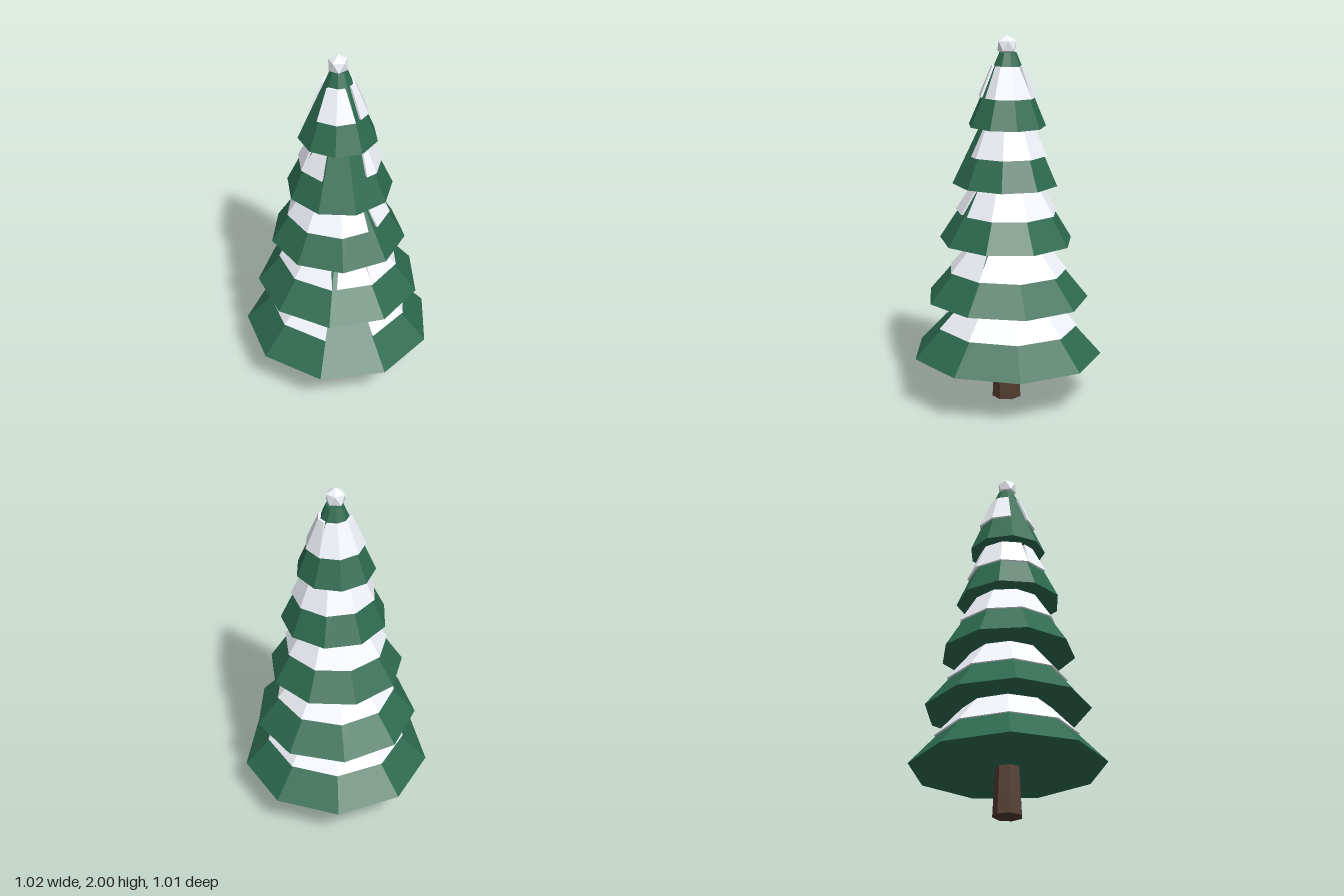
import * as THREE from 'three';

const SIDES = 9;
const STEP = (Math.PI * 2) / SIDES;
const mat = (color) => new THREE.MeshStandardMaterial({ color, flatShading: true, side: THREE.DoubleSide });

// One entry per layer of branches, from the ground up.
// gaps: snow panels that are missing (null) or narrowed: [bottomFrom, bottomTo, topFrom, topTo]
const TIERS = [
  { y: 0.26, r: 0.52, top: 0.15, h: 0.4, turn: 20, x: 0, z: 0.012, gaps: { 0: null, 8: [0, 1, 0.2, 1] } },
  { y: 0.575, r: 0.445, top: 0.115, h: 0.4, turn: 24.5, x: 0, z: 0.01,
    gaps: { 8: [0, 1, 0, 0.75], 0: [0.12, 1, 0.2, 1], 1: [0, 1, 0.1, 0.8] } },
  { y: 0.895, r: 0.365, top: 0.115, h: 0.4, turn: 35, x: 0, z: 0.014,
    gaps: { 0: [0, 0.8, 0, 0.9], 1: [0.15, 1, 0.05, 1] } },
  { y: 1.21, r: 0.285, top: 0.1, h: 0.4, turn: 8, x: 0.01, z: 0.012,
    gaps: { 0: null, 1: [0.6, 1, 0.8, 1], 8: [0, 0.95, 0.3, 0.9] } },
  { y: 1.52, r: 0.21, top: 0.045, h: 0.39, turn: 27, x: 0, z: 0.01,
    gaps: { 7: null, 0: [0, 0.95, 0, 0.7], 1: [0.35, 1, 0.35, 1], 3: [0, 1, 0, 0.75] } },
];

// Slabs of snow lying on the facets of a tier
function snowGeometry({ r, top, h, turn, gaps }) {
  const start = THREE.MathUtils.degToRad(turn);
  const positions = [];
  // point on facet k: u along the facet, t up the slope, lift outwards
  const point = (k, u, t, lift) => {
    const radius = r + (top - r) * t + lift;
    const corner = (i) => new THREE.Vector3(Math.sin(start + i * STEP) * radius, t * h, Math.cos(start + i * STEP) * radius);
    return corner(k).lerp(corner(k + 1), u);
  };
  const quad = (a, b, c, d) => [a, b, c, a, c, d].forEach((p) => positions.push(p.x, p.y, p.z));
  for (let k = 0; k < SIDES; k++) {
    const span = k in gaps ? gaps[k] : [0, 1, 0, 1];
    if (!span) continue;
    const [b0, b1, t0, t1] = span;
    const loop = (lift) => [point(k, b0, 0.4, lift), point(k, b1, 0.4, lift), point(k, t1, 0.82, lift), point(k, t0, 0.82, lift)];
    const outer = loop(0.014);
    const inner = loop(-0.002);
    quad(...outer);
    for (let i = 0; i < 4; i++) {
      const j = (i + 1) % 4;
      quad(inner[i], inner[j], outer[j], outer[i]);
    }
  }
  const g = new THREE.BufferGeometry();
  g.setAttribute('position', new THREE.Float32BufferAttribute(positions, 3));
  g.computeVertexNormals();
  return g;
}

export function createModel() {
  const tree = new THREE.Group();
  tree.name = 'snowyTree';
  const green = mat(0x2d6a4f);
  const white = mat(0xf2f4fc);
  const bark = mat(0x523a2c);

  const add = (parent, name, geometry, material, x = 0, y = 0, z = 0) => {
    const mesh = new THREE.Mesh(geometry, material);
    mesh.name = name;
    mesh.position.set(x, y, z);
    parent.add(mesh);
    return mesh;
  };

  // Trunk
  add(tree, 'trunk', new THREE.CylinderGeometry(0.058, 0.08, 0.4, 7), bark, 0, 0.2, 0.012);

  // Branch tiers with their snow, each tipped very slightly
  TIERS.forEach((tier, i) => {
    const group = new THREE.Group();
    group.name = `tier${i + 1}`;
    group.position.set(tier.x, tier.y, tier.z);
    group.rotation.x = -0.02;
    const cone = new THREE.CylinderGeometry(tier.top, tier.r, tier.h, SIDES, 1, false, THREE.MathUtils.degToRad(tier.turn));
    add(group, 'branches', cone, green, 0, tier.h / 2, 0);
    add(group, 'snow', snowGeometry(tier), white);
    tree.add(group);
  });

  // Snowball at the tip, one corner pointing up
  const ball = new THREE.IcosahedronGeometry(0.056, 0).rotateX(-1.0172);
  add(tree, 'tipSnowball', ball, white, 0, 1.944, 0.01);

  return tree;
}
